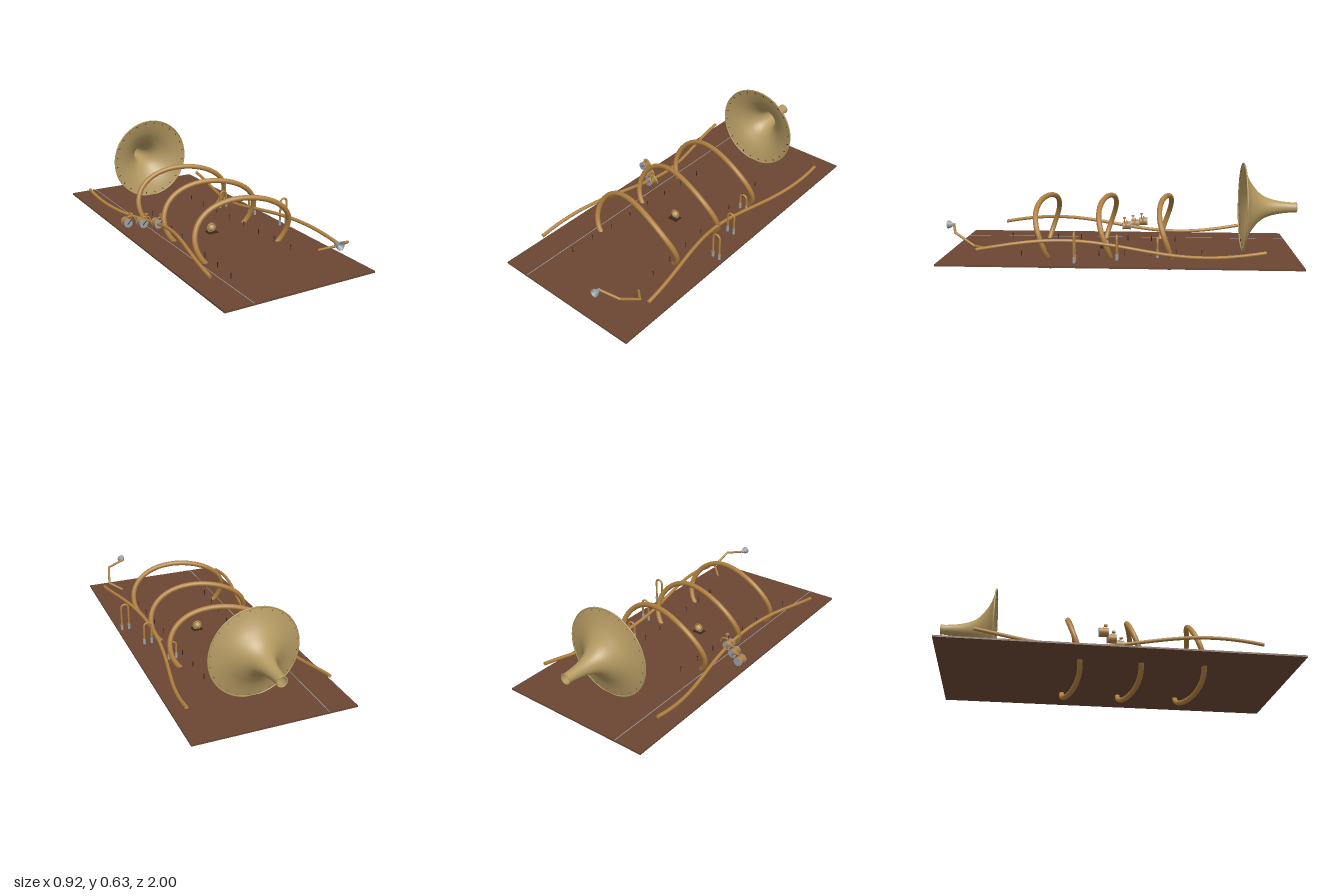
import * as THREE from 'three';

const mat = (color, side = THREE.FrontSide) => {
  const m = new THREE.MeshStandardMaterial({ side });
  m.color.setHex(color);
  return m;
};
const brass = mat(0xb08040), hornBrass = mat(0xb59a62, THREE.DoubleSide);
const steel = mat(0x9aa0a4), wood = mat(0x6b4632), dark = mat(0x35271f);
const V = (x, y, z) => new THREE.Vector3(x, y, z);

export function createModel() {
  const model = new THREE.Group();
  const cx = 0.003;

  const add = (name, geo, material, x = 0, y = 0, z = 0, parent = model) => {
    const m = new THREE.Mesh(geo, material);
    m.name = name;
    m.position.set(x, y, z);
    parent.add(m);
    return m;
  };
  // Round pipe along a curve, closed off with flat discs unless it loops
  const pipe = (name, curve, r, parent = model, seg = 64, closed = false) => {
    add(name, new THREE.TubeGeometry(curve, seg, r, 12, closed), brass, 0, 0, 0, parent);
    if (closed) return;
    for (const t of [0, 1]) {
      const p = curve.getPoint(t);
      const d = curve.getTangent(t).multiplyScalar(t ? 1 : -1);
      const cap = add(name + 'End', new THREE.CircleGeometry(r, 12), brass, p.x, p.y, p.z, parent);
      cap.quaternion.setFromUnitVectors(V(0, 0, 1), d);
    }
  };
  const group = (name) => {
    const g = new THREE.Group();
    g.name = name;
    model.add(g);
    return g;
  };

  // Wooden board with a thin seam
  add('board', new THREE.BoxGeometry(0.903, 0.01, 1.98), wood, cx, 0.115, 0.01);
  add('boardSeam', new THREE.BoxGeometry(0.004, 0.002, 1.98), steel, -0.285, 0.12, 0.01);

  // Flared bell, opening towards the front
  const bell = group('bell');
  bell.position.set(cx, 0.37, 0);
  const profile = [
    [0.028, -1], [0.03, -0.96], [0.034, -0.92], [0.041, -0.88], [0.052, -0.84], [0.068, -0.805],
    [0.092, -0.775], [0.122, -0.75], [0.16, -0.725], [0.205, -0.706], [0.254, -0.692],
  ];
  const curve = new THREE.SplineCurve(profile.map(([r, z]) => new THREE.Vector2(r, z)));
  const horn = add('bellFlare', new THREE.LatheGeometry(curve.getPoints(40), 64), hornBrass, 0, 0, 0, bell);
  horn.rotation.x = Math.PI / 2;
  add('bellRim', new THREE.TorusGeometry(0.253, 0.004, 8, 64), hornBrass, 0, 0, -0.692, bell);
  add('bellThroatRim', new THREE.TorusGeometry(0.028, 0.003, 8, 32), hornBrass, 0, 0, -0.997, bell);
  for (let i = 0; i < 24; i++) {
    const a = (i / 24) * Math.PI * 2 + 0.12;
    const rivet = add('bellRivet', new THREE.BoxGeometry(0.012, 0.003, 0.004), dark,
      0.238 * Math.cos(a), 0.238 * Math.sin(a), -0.694, bell);
    rivet.rotation.z = a + 0.4;
  }

  // Three twisted hoops passing through the board
  for (const z of [0.447, 0.093, -0.245]) {
    const pts = [];
    for (let i = 0; i < 32; i++) {
      const a = (i / 32) * Math.PI * 2;
      pts.push(V(cx + 0.297 * Math.cos(a), 0.222 + 0.206 * Math.sin(a), z + 0.036 * Math.sin(2 * a)));
    }
    pipe('hoop', new THREE.CatmullRomCurve3(pts, true), 0.015, model, 96, true);
  }

  // Long wavy side pipes, mirrored
  for (const s of [-1, 1]) {
    const pts = [];
    for (let i = 0; i <= 20; i++) {
      const a = (i / 10 - 1) * Math.PI;
      pts.push(V(cx + s * (0.35 - 0.05 * Math.cos(a)), 0.193 + 0.042 * Math.sin(a), (a / Math.PI) * 0.78));
    }
    pipe('sidePipe', new THREE.CatmullRomCurve3(pts), 0.01);
  }

  // Rotary valves stepping along the right-hand pipe
  for (const [x, z] of [[-0.437, -0.105], [-0.365, -0.053], [-0.293, -0.003]]) {
    const valve = group('valve');
    valve.position.set(x, 0.193, z);
    add('valveBody', new THREE.CylinderGeometry(0.024, 0.024, 0.044, 24), brass, 0, 0, 0, valve).rotation.x = Math.PI / 2;
    for (const s of [-1, 1])
      add('valveCap', new THREE.CylinderGeometry(0.026, 0.026, 0.005, 24), steel, 0, 0, s * 0.023, valve).rotation.x = Math.PI / 2;
    const crank = add('valveCrank', new THREE.BoxGeometry(0.034, 0.003, 0.003), dark, 0.006, 0.006, 0.027, valve);
    crank.rotation.z = 0.8;
    add('keyStem', new THREE.CylinderGeometry(0.003, 0.003, 0.036, 8), brass, 0.02, 0.034, 0.014, valve);
    add('keyTouch', new THREE.BoxGeometry(0.018, 0.008, 0.018), brass, 0.02, 0.052, 0.014, valve);
    const elbow = new THREE.CatmullRomCurve3([V(0.005, 0.03, 0), V(0.03, 0.031, 0), V(0.048, 0.022, 0), V(0.055, 0.003, 0)]);
    pipe('valveElbow', elbow, 0.005, valve, 16);
  }

  // Upright tuning slides in steel sockets
  for (const [x, top, z] of [[0.271, 0.24, -0.2], [0.345, 0.27, 0.02], [0.416, 0.3, 0.245]]) {
    const slide = group('tuningSlide');
    const path = new THREE.CurvePath();
    const r = 0.022, y = top - r - 0.003;
    const pts = [];
    for (let i = 0; i <= 10; i++) {
      const a = Math.PI - (i / 10) * Math.PI;
      pts.push(V(x + r * Math.cos(a), y + r * Math.sin(a), z));
    }
    path.add(new THREE.LineCurve3(V(x - r, 0.14, z), pts[0]));
    path.add(new THREE.CatmullRomCurve3(pts));
    path.add(new THREE.LineCurve3(pts[10], V(x + r, 0.14, z)));
    pipe('slideBow', path, 0.006, slide, 48);
    for (const s of [-1, 1])
      add('slideSocket', new THREE.CylinderGeometry(0.008, 0.008, 0.034, 16), steel, x + s * r, 0.151, z, slide);
  }

  // Angled leadpipe with a steel cup
  const lead = [V(0.293, 0.172, 0.735), V(0.365, 0.205, 0.8), V(0.336, 0.272, 0.91), V(0.232, 0.295, 0.945)];
  for (let i = 0; i < 3; i++) {
    pipe('leadpipe', new THREE.LineCurve3(lead[i], lead[i + 1]), 0.007, model, 1);
    if (i) add('leadpipeJoint', new THREE.SphereGeometry(0.007, 12, 8), brass, lead[i].x, lead[i].y, lead[i].z);
  }
  const cup = [[0.001, 0], [0.008, 0], [0.01, 0.014], [0.02, 0.028], [0.023, 0.042], [0.02, 0.042], [0.012, 0.026], [0.001, 0.02]];
  add('mouthCup', new THREE.LatheGeometry(cup.map(([r, h]) => new THREE.Vector2(r, h)), 24),
    mat(0x9aa0a4, THREE.DoubleSide), 0.23, 0.295, 0.94).rotation.x = Math.PI / 2;

  // Small ringed knob in the middle of the board
  const knob = group('centreKnob');
  knob.position.set(cx, 0.147, 0.11);
  add('knobBall', new THREE.SphereGeometry(0.021, 24, 16), hornBrass, 0, 0, 0, knob);
  add('knobRing', new THREE.TorusGeometry(0.025, 0.005, 10, 32), brass, 0, 0, 0, knob);
  add('knobFoot', new THREE.BoxGeometry(0.06, 0.006, 0.05), dark, 0, -0.026, 0.005, knob);

  // Two staggered rows of slender pins
  for (const s of [-1, 1])
    for (let i = 0; i < 8; i++) {
      const x = s < 0 ? -0.235 + 0.0085 * i : 0.18 + 0.0085 * i;
      const z = s < 0 ? 0.71 - 0.145 * i : -0.45 + 0.145 * i;
      add('pin', new THREE.CylinderGeometry(0.002, 0.002, 0.03, 8), dark, x, 0.134, z);
      add('pinHead', new THREE.CylinderGeometry(0.0035, 0.0035, 0.004, 8), dark, x, 0.149, z);
    }

  return model;
}
